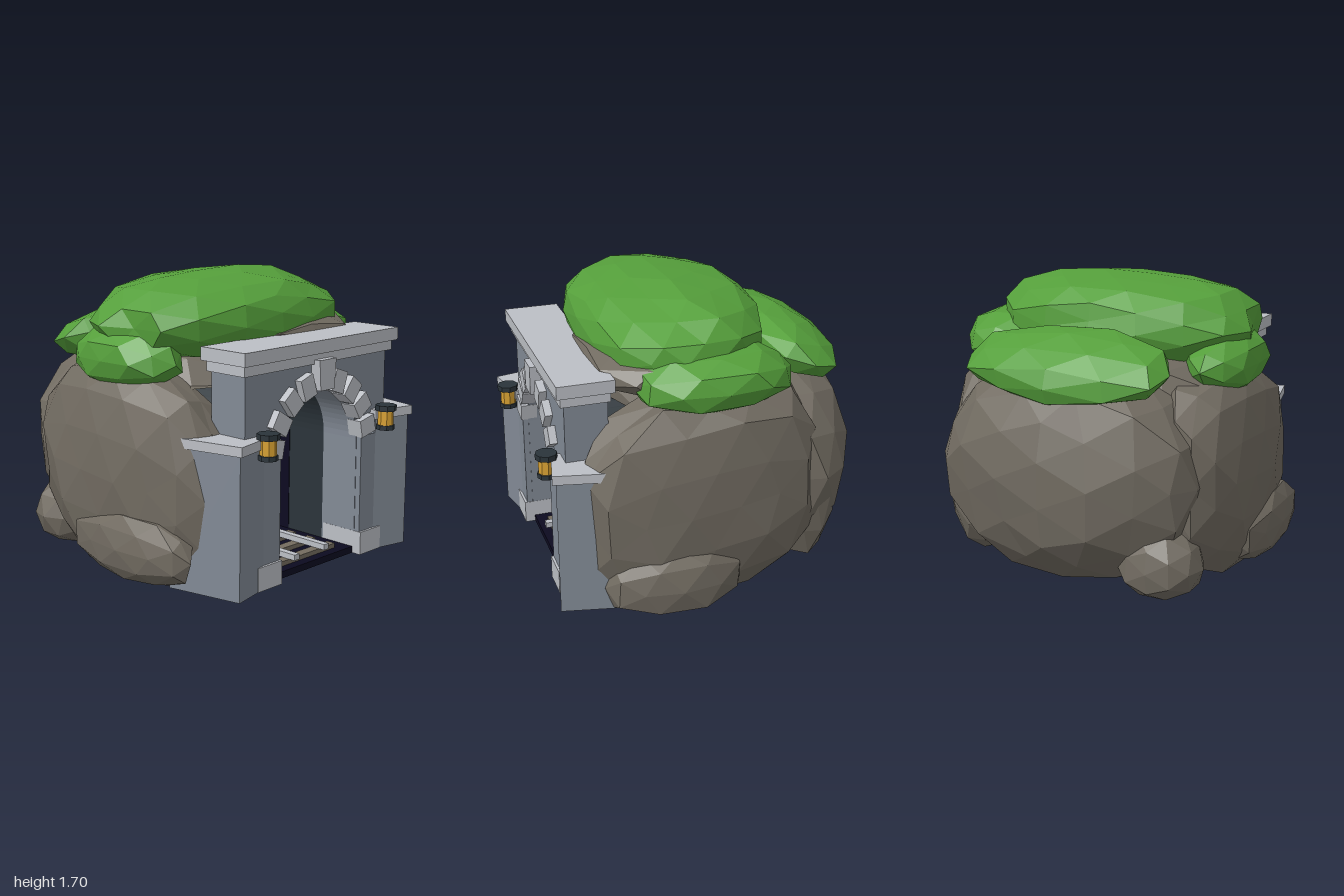
import * as THREE from 'three';
import { mergeVertices } from 'three/addons/utils/BufferGeometryUtils.js';

const CX = 0.012; // centre line of the stone portal
const SPRING = 0.71; // height where the arch begins
const R = 0.353; // arch radius

export function createModel() {
  const model = new THREE.Group();
  const mat = (name, color) => new THREE.MeshStandardMaterial({ name, color, flatShading: true });
  const grass = mat('grass green', 0x559f3b);
  const rock = mat('brown rock', 0x716b61);
  const wall = mat('wall stone', 0x828a95);
  const trim = mat('pale trim stone', 0xbcbfc5);
  const dark = mat('dark slate', 0x2b343a);
  const night = mat('tunnel black', 0x0c0a20);
  const gold = mat('lantern gold', 0xd6a032);
  const wood = mat('sleeper wood', 0x746c5f);

  function add(name, geometry, material, x = 0, y = 0, z = 0, parent = model) {
    const mesh = new THREE.Mesh(geometry, material);
    mesh.name = name;
    mesh.position.set(x, y, z);
    parent.add(mesh);
    return mesh;
  }

  // Box given by its limits
  function box(name, material, x0, x1, y0, y1, z0, z1, parent = model) {
    return add(name, new THREE.BoxGeometry(x1 - x0, y1 - y0, z1 - z0), material,
      (x0 + x1) / 2, (y0 + y1) / 2, (z0 + z1) / 2, parent);
  }

  // Faceted lump: a squarish ellipsoid with seeded bumps, narrowing upwards,
  // tilted towards the front and clamped to limits
  function lump(name, material, c, r, seed,
    { detail = 1, power = 2.2, bump = 0.1, taper = 0, tilt = 0, minX = -9, maxX = 9, minY = 0 } = {}) {
    let s = seed * 7919 + 17;
    const rand = () => (s = (s * 16807) % 2147483647) / 2147483647;
    for (let i = 0; i < 5; i++) rand();
    let g = new THREE.IcosahedronGeometry(1, detail);
    g.deleteAttribute('normal');
    g.deleteAttribute('uv');
    g = mergeVertices(g, 1e-3);
    const p = g.attributes.position;
    const v = new THREE.Vector3();
    for (let i = 0; i < p.count; i++) {
      v.fromBufferAttribute(p, i);
      const n = (Math.abs(v.x) ** power + Math.abs(v.y) ** power + Math.abs(v.z) ** power) ** (1 / power);
      v.multiplyScalar((1 + (rand() - 0.5) * bump) / n);
      const k = 1 - taper * v.y;
      p.setXYZ(i,
        THREE.MathUtils.clamp(c[0] + v.x * r[0] * k, minX, maxX),
        Math.max(c[1] + v.y * r[1] + v.z * tilt, minY),
        c[2] + v.z * r[2]);
    }
    g = g.toNonIndexed();
    g.computeVertexNormals();
    return add(name, g, material);
  }

  // Arched opening cut from the bottom edge of an outline
  function archCut(shape, r = R) {
    shape.lineTo(r, 0);
    shape.lineTo(r, SPRING);
    shape.absarc(0, SPRING, r, 0, Math.PI, false);
    shape.lineTo(-r, 0);
    shape.closePath();
    return shape;
  }
  // Arched band between two radii
  function archBand(inner, outer) {
    const band = new THREE.Shape();
    band.moveTo(-inner, 0);
    band.lineTo(-outer, 0);
    band.lineTo(-outer, SPRING);
    band.absarc(0, SPRING, outer, Math.PI, 0, true);
    band.lineTo(outer, 0);
    return archCut(band, inner);
  }
  const extrude = (shape, depth) =>
    new THREE.ExtrudeGeometry(shape, { depth, bevelEnabled: false, curveSegments: 16 });

  // Rock hill
  lump('leftRock', rock, [-0.66, 0.58, 0.03], [0.29, 0.64, 0.71], 1, { detail: 2, power: 2.6, taper: 0.06, tilt: -0.06, maxX: -0.36 });
  lump('rightRock', rock, [0.655, 0.58, 0.07], [0.29, 0.65, 0.72], 2, { detail: 2, power: 2.9, tilt: -0.08, minX: 0.39 });
  lump('backRock', rock, [0.01, 0.64, -0.55], [0.82, 0.67, 0.455], 3, { detail: 2, power: 2.15 });
  lump('crownRock', rock, [0, 1.02, -0.08], [0.78, 0.33, 0.6], 5, { detail: 2, power: 2.5, minY: 1.08 });
  lump('browRock', rock, [0.23, 1.31, 0.2], [0.54, 0.14, 0.47], 6, { power: 2.5, minY: 1.17 });
  lump('cornerRock', rock, [0.62, 0.5, -0.6], [0.2, 0.46, 0.18], 4);
  lump('leftBoulder', rock, [-0.87, 0.2, 0.24], [0.13, 0.21, 0.47], 9);
  lump('rightBoulder', rock, [0.81, 0.14, 0.28], [0.19, 0.25, 0.42], 10, { power: 2.4 });
  lump('backBoulder', rock, [-0.58, 0.17, -0.62], [0.25, 0.23, 0.23], 11);

  // Grass cushions
  lump('topGrass', grass, [-0.02, 1.42, 0.08], [0.82, 0.28, 0.54], 12, { detail: 2, power: 2.3, minY: 1.25 });
  lump('leftGrass', grass, [-0.7, 1.23, 0.02], [0.21, 0.18, 0.4], 13);
  lump('rightGrass', grass, [0.63, 1.285, 0], [0.31, 0.175, 0.47], 14, { power: 2.4 });
  lump('backGrass', grass, [0, 1.26, -0.64], [0.65, 0.18, 0.29], 15, { power: 2.05, tilt: 0.08 });

  // Tunnel lining: slate shell with black stretches between its ribs
  add('tunnelLining', extrude(archBand(R, R + 0.1), 0.98), dark, CX, 0, -0.38);
  for (const [z0, z1] of [[-0.38, 0.1], [0.25, 0.33]]) {
    add('tunnelShade', extrude(archBand(R - 0.004, R), z1 - z0), night, CX, 0, z0);
  }
  box('tunnelFloor', night, CX - R, CX + R, 0, 0.04, -0.38, 0.84);

  // Track
  for (let i = 0; i < 7; i++) {
    const z = 0.75 - i * 0.155;
    box('sleeper', wood, CX - 0.26, CX + 0.26, 0.04, 0.068, z - 0.03, z + 0.03);
  }
  for (const side of [-1, 1]) {
    const x = CX + side * 0.133;
    box('rail', trim, x - 0.021, x + 0.021, 0.068, 0.102, -0.22, 0.82);
  }

  // Portal wall with arched opening
  const front = new THREE.Shape();
  front.moveTo(-R, 0);
  front.lineTo(-0.61, 0);
  front.lineTo(-0.61, 1.22);
  front.lineTo(0.61, 1.22);
  front.lineTo(0.61, 0);
  add('portalWall', extrude(archCut(front), 0.25), wall, CX, 0, 0.6);
  box('lowerCornice', trim, CX - 0.64, CX + 0.64, 1.215, 1.275, 0.59, 0.875);
  box('upperCornice', trim, CX - 0.665, CX + 0.665, 1.275, 1.35, 0.57, 0.9);

  // Arch stones and keystone
  for (const side of [-1, 1]) {
    for (const degrees of [12, 32, 51.5, 71]) {
      const a = THREE.MathUtils.degToRad(degrees);
      const stone = add('archStone', new THREE.BoxGeometry(0.13, 0.105, 0.1), trim,
        CX + side * Math.cos(a) * 0.415, 0.7 + Math.sin(a) * 0.415, 0.845);
      stone.rotation.z = side * a;
    }
  }
  const key = new THREE.Shape([[-0.06, 1.065], [0.06, 1.065], [0.072, 1.24], [-0.072, 1.24]]
    .map(([x, y]) => new THREE.Vector2(x, y)));
  add('keystone', extrude(key, 0.13), trim, CX, 0, 0.785);

  // Pillars, wing walls and lanterns on both sides
  for (const side of [-1, 1]) {
    const px = CX + side * 0.449;
    box('pillar', wall, px - 0.093, px + 0.093, 0, 0.73, 0.62, 0.885);
    box('pillarBase', trim, px - 0.097, px + 0.097, 0, 0.14, 0.61, 0.9);

    const wing = new THREE.Group();
    wing.name = 'wingWall';
    wing.position.set(CX + side * 0.66, 0, 0.702);
    wing.rotation.y = -side * 0.217;
    model.add(wing);
    box('wingBody', wall, -0.127, 0.127, 0, 0.815, -0.24, 0.215, wing);
    box('wingCap', trim, -0.142, 0.142, 0.815, 0.87, -0.25, 0.235, wing);

    const lantern = new THREE.Group();
    lantern.name = 'lantern';
    lantern.position.set(CX + side * 0.518, 0, 0.938);
    model.add(lantern);
    const drum = (name, material, r, y0, y1) =>
      add(name, new THREE.CylinderGeometry(r, r, y1 - y0, 8), material, 0, (y0 + y1) / 2, 0, lantern);
    drum('lanternFoot', dark, 0.055, 0.757, 0.785);
    drum('lanternGlass', gold, 0.047, 0.785, 0.872);
    drum('lanternCap', dark, 0.064, 0.872, 0.905);
    box('lanternBracket', dark, -0.02, 0.02, 0.765, 0.785, -0.1, 0, lantern);
  }
  return model;
}
